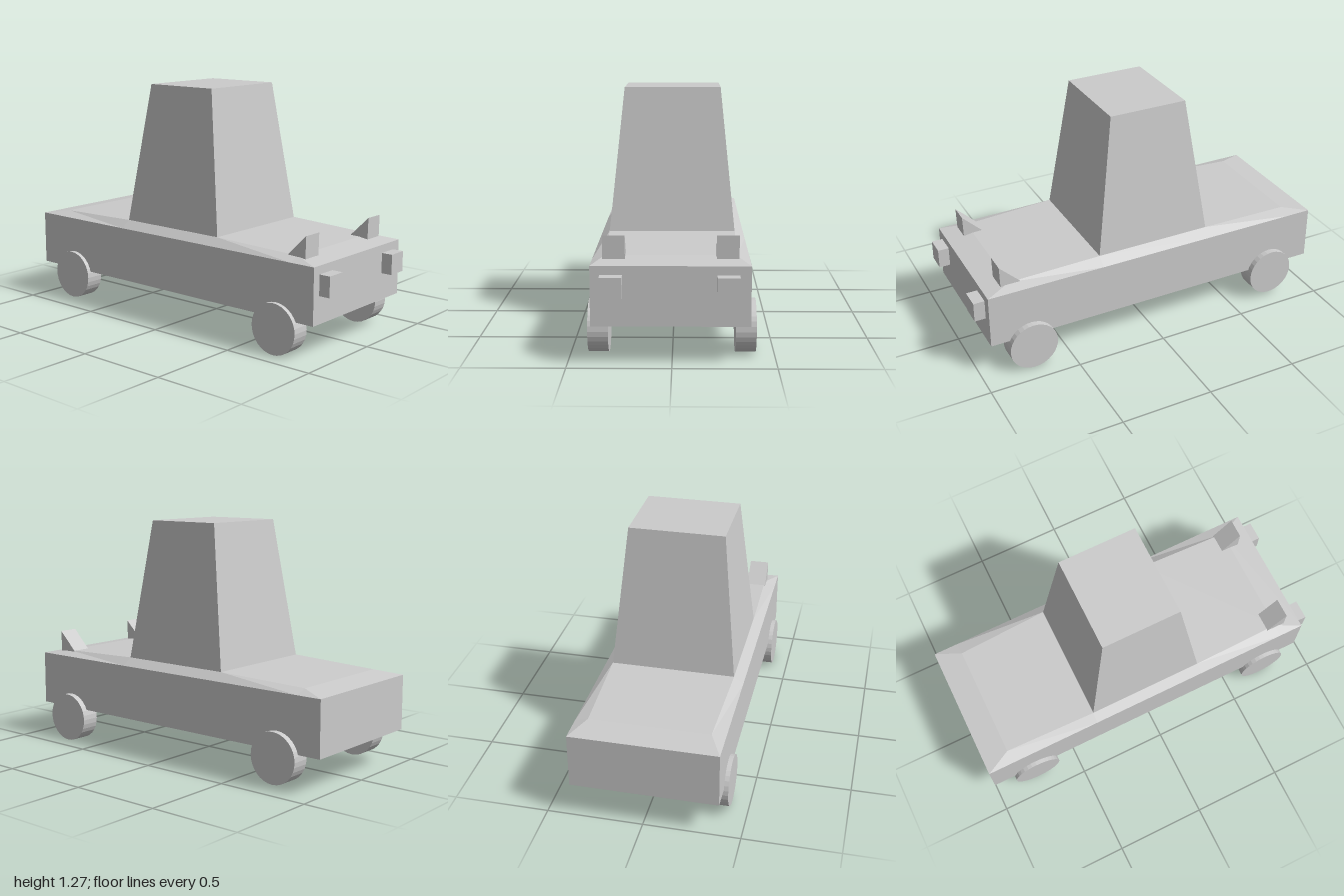
import * as THREE from 'three';

const material = new THREE.MeshStandardMaterial({ color: 0xcccccc, flatShading: true });

// Skin a list of equal-length closed rings and cap both ends
function loft(rings) {
  const n = rings[0].length;
  const index = [];
  for (let r = 0; r < rings.length - 1; r++) {
    for (let i = 0; i < n; i++) {
      const a = r * n + i, b = r * n + (i + 1) % n;
      index.push(a, b, b + n, a, b + n, a + n);
    }
  }
  const last = (rings.length - 1) * n;
  for (let i = 1; i < n - 1; i++) {
    index.push(0, i + 1, i, last, last + i, last + i + 1);
  }
  const geometry = new THREE.BufferGeometry();
  geometry.setAttribute('position', new THREE.Float32BufferAttribute(rings.flat(2), 3));
  geometry.setIndex(index);
  const flat = geometry.toNonIndexed();
  flat.computeVertexNormals();
  return flat;
}

export function createModel() {
  const model = new THREE.Group();
  model.name = 'car';
  const add = (name, geometry, x = 0, y = 0, z = 0) => {
    const mesh = new THREE.Mesh(geometry, material);
    mesh.name = name;
    mesh.position.set(x, y, z);
    model.add(mesh);
    return mesh;
  };

  // Body: sections from tail to nose, deck crowned toward the cabin
  const left = 0.375, right = -0.388, floor = 0.19, edge = 0.483;
  const section = ([z, inRight, inLeft, top]) => [
    [left, floor, z], [left, edge, z], [inLeft, top, z],
    [inRight, top, z], [right, edge, z], [right, floor, z],
  ];
  add('body', loft([
    [-1, right, left, edge],
    [-0.86, -0.32, 0.305, 0.505],
    [-0.35, -0.338, 0.322, 0.522],
    [0.295, -0.338, 0.322, 0.522],
    [0.8, -0.325, 0.31, 0.505],
    [0.94, right, left, edge],
  ].map(section)));

  // Cabin: tall tapered block
  const rectangle = (x0, x1, y, z0, z1) => [[x0, y, z1], [x1, y, z1], [x1, y, z0], [x0, y, z0]];
  add('cabin', loft([
    rectangle(-0.338, 0.322, 0.515, -0.35, 0.295),
    rectangle(-0.259, 0.246, 1.273, -0.24, 0.188),
  ]));

  // Wheels, the rear pair set slightly higher
  const wheel = new THREE.CylinderGeometry(0.133, 0.133, 0.1, 32).rotateZ(Math.PI / 2);
  for (const [side, x] of [['left', 0.358], ['right', -0.361]]) {
    add(side + 'FrontWheel', wheel, x, 0.136, 0.716);
    add(side + 'RearWheel', wheel, x, 0.157, -0.745);
  }

  // Headlights and the upright wedges on the hood above them
  const lamp = new THREE.BoxGeometry(0.107, 0.107, 0.08);
  const profile = new THREE.Shape([
    new THREE.Vector2(-0.85, 0.49), new THREE.Vector2(-0.745, 0.49),
    new THREE.Vector2(-0.745, 0.506), new THREE.Vector2(-0.853, 0.612),
  ]);
  const wedge = new THREE.ExtrudeGeometry(profile, { depth: 0.108, bevelEnabled: false })
    .translate(0, 0, -0.054).rotateY(Math.PI / 2);
  for (const [side, x] of [['left', 0.267], ['right', -0.288]]) {
    add(side + 'Headlight', lamp, x, 0.386, 0.96);
    add(side + 'HoodWedge', wedge, x + (side === 'right' ? 0.008 : 0));
  }

  return model;
}
